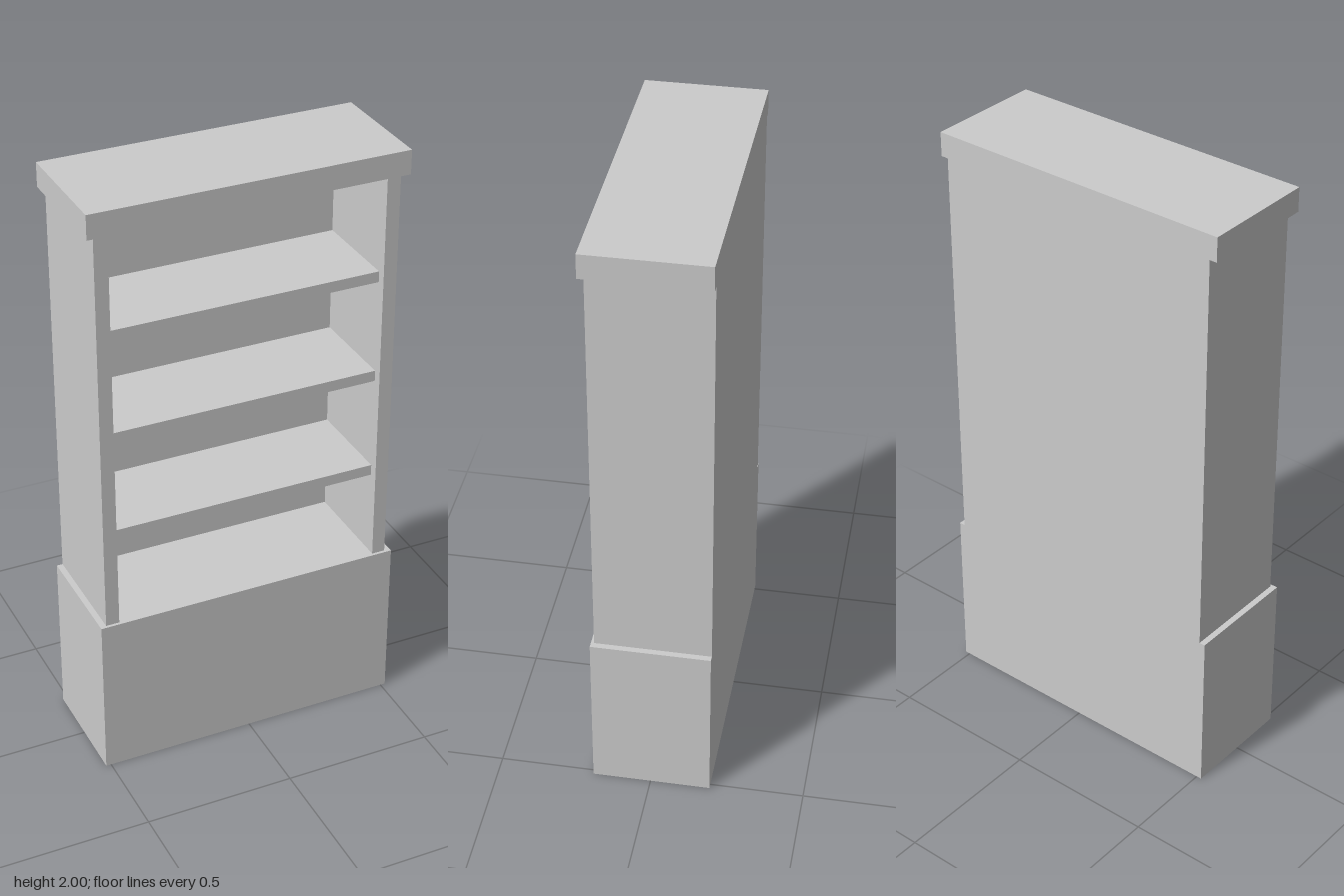
import * as THREE from 'three';

export function createModel() {
  const group = new THREE.Group();
  group.name = 'bookcase';
  const material = new THREE.MeshStandardMaterial({ color: 0xcccccc });

  // Box given by its extents on each axis
  const box = (name, [x0, x1], [y0, y1], [z0, z1]) => {
    const mesh = new THREE.Mesh(new THREE.BoxGeometry(x1 - x0, y1 - y0, z1 - z0), material);
    mesh.position.set((x0 + x1) / 2, (y0 + y1) / 2, (z0 + z1) / 2);
    mesh.name = name;
    group.add(mesh);
  };

  const back = -0.195, backInner = -0.163;
  const baseTop = 0.555, corniceBottom = 1.92;
  const inner = 0.452, outer = 0.497;

  // Solid plinth and overhanging cornice, flush at the back
  box('base', [-0.517, 0.517], [0, baseTop], [back, 0.19]);
  box('cornice', [-0.522, 0.522], [corniceBottom, 2], [back, 0.195]);

  // Carcass between them
  box('leftSide', [inner, outer], [baseTop, corniceBottom], [back, 0.18]);
  box('rightSide', [-outer, -inner], [baseTop, corniceBottom], [back, 0.18]);
  box('backPanel', [-inner, inner], [baseTop, corniceBottom], [back, backInner]);

  // Shelves, set back slightly from the side fronts
  for (let i = 0; i < 3; i++) {
    const y = 0.847 + i * 0.352;
    box(`shelf${i + 1}`, [-inner, inner], [y, y + 0.037], [backInner, 0.15]);
  }
  return group;
}
